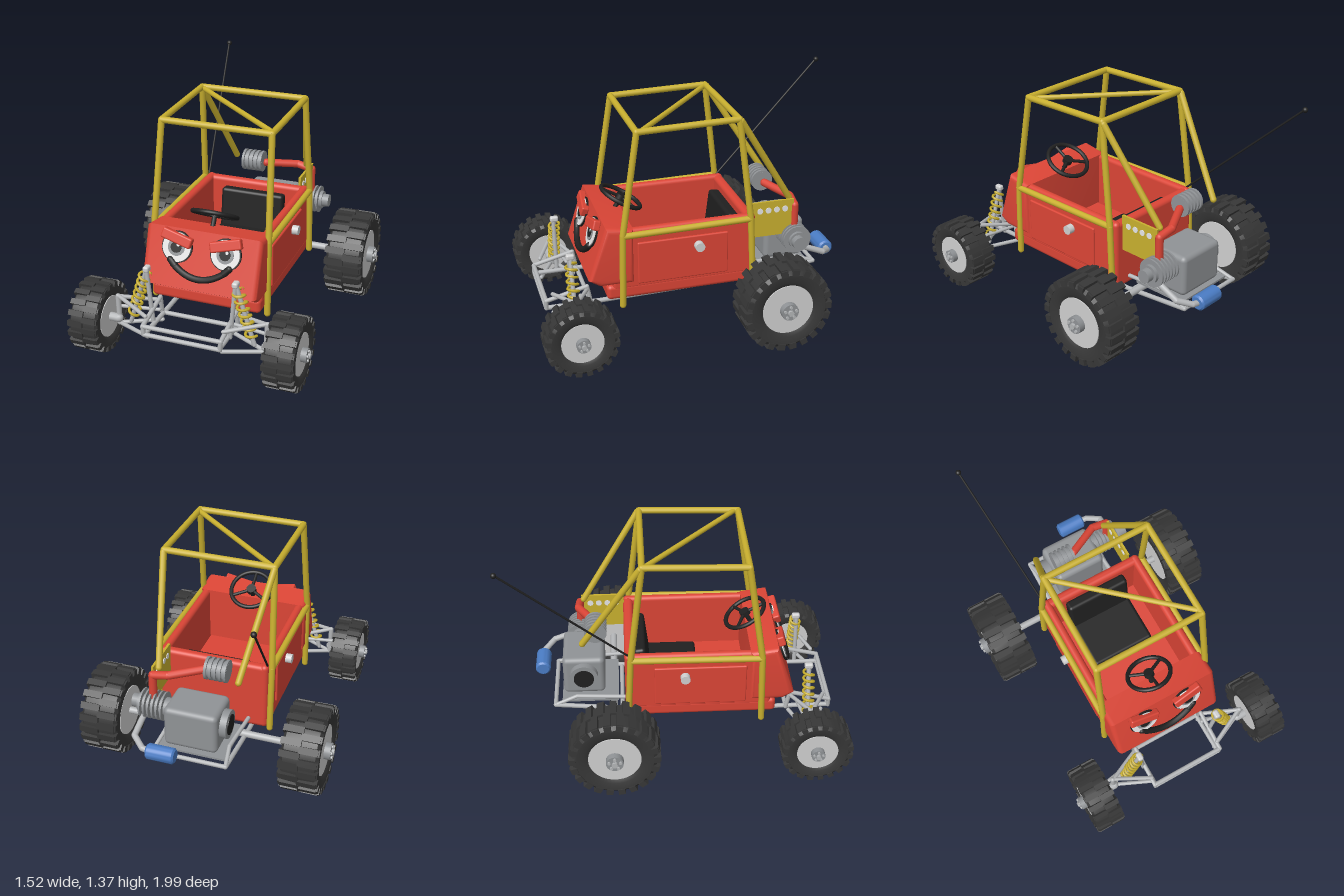
import * as THREE from 'three';
import { mergeGeometries, toCreasedNormals } from 'three/addons/utils/BufferGeometryUtils.js';
import { RoundedBoxGeometry } from 'three/addons/geometries/RoundedBoxGeometry.js';

const material = (name, color) => Object.assign(new THREE.MeshStandardMaterial({ color }), { name });
const red = material('red paint', 0xdb4536);
const yellow = material('yellow paint', 0xc9b02f);
const rubber = material('rubber', 0x373737);
const black = material('black trim', 0x202020);
const steel = material('steel', 0xb4b6b8);
const engineGrey = material('engine grey', 0x909396);
const hubGrey = material('hub grey', 0xd0d0d0);
const white = material('white', 0xf2f2f2);
const blue = material('blue', 0x4a7cc4);

const V = (x, y, z) => new THREE.Vector3(x, y, z);
const UP = V(0, 1, 0);

function add(parent, name, geometry, mat, x = 0, y = 0, z = 0) {
  const mesh = new THREE.Mesh(geometry, mat);
  mesh.name = name;
  mesh.position.set(x, y, z);
  parent.add(mesh);
  return mesh;
}
const rounded = (w, h, d, r = 0.02) => new RoundedBoxGeometry(w, h, d, 3, r);
const cylX = (r, len, n = 24) => new THREE.CylinderGeometry(r, r, len, n).rotateZ(-Math.PI / 2);
const cylZ = (r, len, n = 32) => new THREE.CylinderGeometry(r, r, len, n).rotateX(Math.PI / 2);

// Welded tubes through a list of points
function tubes(parent, name, points, r, mat) {
  const parts = [];
  points.forEach((p, i) => {
    parts.push(new THREE.SphereGeometry(r, 12, 8).translate(p.x, p.y, p.z));
    if (!i) return;
    const a = points[i - 1], dir = p.clone().sub(a), mid = a.clone().add(p).multiplyScalar(0.5);
    const q = new THREE.Quaternion().setFromUnitVectors(UP, dir.clone().normalize());
    parts.push(new THREE.CylinderGeometry(r, r, dir.length(), 12).applyQuaternion(q).translate(mid.x, mid.y, mid.z));
  });
  return add(parent, name, mergeGeometries(parts), mat);
}

class Helix extends THREE.Curve {
  constructor(radius, length, turns) { super(); Object.assign(this, { radius, length, turns }); }
  getPoint(t, out = V(0, 0, 0)) {
    const a = t * this.turns * Math.PI * 2;
    return out.set(Math.cos(a) * this.radius, t * this.length, Math.sin(a) * this.radius);
  }
}

// Wheel with its axle along x and its outer face toward +x
function wheel(name, R, half, lugCount, hubOut) {
  const g = new THREE.Group();
  g.name = name;
  const hubR = R * 0.57;
  const profile = [[hubR, -half * 0.8], [R * 0.66, -half * 0.92], [R * 0.84, -half * 0.95], [R * 0.92, -half * 0.8],
    [R * 0.94, 0], [R * 0.92, half * 0.8], [R * 0.84, half * 0.95], [R * 0.66, half * 0.92], [hubR, half * 0.8]];
  const tire = new THREE.LatheGeometry(profile.map(p => new THREE.Vector2(...p)), 48).rotateZ(-Math.PI / 2);
  add(g, 'tire', toCreasedNormals(tire, 0.6), rubber);
  // Two staggered rows of tread blocks, each with a shoulder step
  const lugs = [];
  for (let i = 0; i < lugCount * 2; i++) {
    const side = i % 2 ? 1 : -1, a = i * Math.PI / lugCount, t = R * 0.15;
    lugs.push(new THREE.BoxGeometry(half * 0.95, R * 0.1, t).translate(side * half * 0.44, R * 0.942, 0).rotateX(a));
    lugs.push(new THREE.BoxGeometry(half * 0.25, R * 0.14, t).translate(side * half * 0.87, R * 0.9, 0).rotateX(a));
  }
  add(g, 'tread', mergeGeometries(lugs), rubber);
  add(g, 'wheelDisc', cylX(hubR, half * 1.7, 40), hubGrey);
  add(g, 'hub', cylX(R * 0.19, half + hubOut - 0.015, 20), engineGrey, (half + hubOut - 0.015) / 2);
  add(g, 'hubNut', cylX(R * 0.07, 0.03, 6), steel, half + hubOut - 0.015);
  for (let i = 0; i < 5; i++) {
    const a = i * Math.PI * 0.4;
    add(g, 'bolt', cylX(R * 0.035, 0.012, 8), steel, half + hubOut - 0.012, Math.cos(a) * R * 0.13, Math.sin(a) * R * 0.13);
  }
  return g;
}

function buildBody(g) {
  // Nose: side profile (z, y) swept across the width
  const nose = new THREE.Shape([[0.42, 0.37], [0.62, 0.37], [0.685, 0.41], [0.58, 0.73], [0.42, 0.705]].map(p => new THREE.Vector2(...p)));
  const b = 0.03;
  const noseGeo = new THREE.ExtrudeGeometry(nose, { depth: 0.69 - 2 * b, bevelSize: b, bevelThickness: b, bevelOffset: -b, bevelSegments: 5 });
  noseGeo.translate(0, 0, -(0.69 - 2 * b) / 2).rotateY(-Math.PI / 2);
  add(g, 'nose', toCreasedNormals(noseGeo, 0.6), red);
  add(g, 'floor', rounded(0.66, 0.09, 0.88, 0.025), red, 0, 0.315, 0.14);
  add(g, 'noseGap', new THREE.BoxGeometry(0.6, 0.05, 0.12), black, 0, 0.36, 0.51);
  add(g, 'rearWall', rounded(0.66, 0.42, 0.06, 0.025), red, 0, 0.49, -0.28);
  for (const s of [-1, 1]) {
    add(g, 'sideWall', rounded(0.05, 0.38, 0.86, 0.024), red, s * 0.305, 0.515, 0.12);
    add(g, 'door', rounded(0.02, 0.26, 0.54, 0.008), red, s * 0.332, 0.49, 0.13);
    add(g, 'doorKnob', cylX(0.028, 0.05), hubGrey, s * 0.355, 0.56, 0.04);
  }
  // Seat and steering wheel
  add(g, 'seatCushion', rounded(0.4, 0.08, 0.32), black, 0, 0.39, -0.03);
  add(g, 'seatBack', rounded(0.4, 0.27, 0.07), black, 0, 0.52, -0.205).rotation.x = -0.12;
  const steering = new THREE.Group();
  steering.name = 'steeringWheel';
  steering.position.set(0, 0.765, 0.415);
  steering.rotation.x = -0.52;
  add(steering, 'rim', new THREE.TorusGeometry(0.128, 0.013, 10, 40).rotateX(Math.PI / 2), black);
  add(steering, 'boss', new THREE.CylinderGeometry(0.03, 0.03, 0.03, 20), black);
  for (let i = 0; i < 3; i++) {
    const a = i * Math.PI * 2 / 3 + Math.PI / 2;
    tubes(steering, 'spoke', [V(0, 0, 0), V(Math.cos(a) * 0.125, 0, Math.sin(a) * 0.125)], 0.01, black);
  }
  tubes(steering, 'column', [V(0, 0, 0), V(0, -0.22, 0)], 0.014, black);
  g.add(steering);
}

function buildFace(g) {
  const face = new THREE.Group();
  face.name = 'face';
  face.position.set(0, 0.63, 0.614);
  face.rotation.x = -0.317;
  for (const s of [-1, 1]) {
    add(face, 'eyeRim', cylZ(0.091, 0.02), black, s * 0.145);
    add(face, 'eyeWhite', cylZ(0.084, 0.02), white, s * 0.145, 0, 0.006);
    add(face, 'iris', cylZ(0.05, 0.008), engineGrey, s * 0.145, 0, 0.016);
    add(face, 'pupil', cylZ(0.032, 0.008), black, s * 0.145, 0, 0.02);
    add(face, 'glint', cylZ(0.009, 0.006), white, s * 0.145 + 0.012, 0.014, 0.023);
    add(face, 'brow', rounded(0.185, 0.06, 0.045, 0.01), red, s * 0.145, 0.052, 0.018).rotation.z = s * 0.26;
    tubes(face, 'mouthCorner', [V(s * 0.175, -0.075, 0.01), V(s * 0.145, -0.105, 0.01)], 0.02, black);
  }
  const smile = new THREE.QuadraticBezierCurve3(V(-0.16, -0.095, 0.01), V(0, -0.23, 0.015), V(0.16, -0.095, 0.01));
  add(face, 'mouth', new THREE.TubeGeometry(smile, 24, 0.019, 10), black);
  g.add(face);
}

function buildCage(g) {
  const r = 0.019, x = 0.345, t = 0.325;
  for (const s of [-1, 1]) {
    tubes(g, 'cageSide', [V(s * x, 0.24, 0.495), V(s * x, 0.68, 0.485), V(s * t, 1.28, 0.39), V(s * t, 1.295, -0.2), V(s * x, 0.68, -0.275), V(s * x, 0.28, -0.295)], r, yellow);
    tubes(g, 'cageWaistRail', [V(s * x, 0.675, 0.485), V(s * x, 0.685, -0.275)], r, yellow);
    tubes(g, 'cageRearBrace', [V(s * t, 1.285, -0.21), V(s * 0.235, 0.74, -0.55)], r, yellow);
  }
  tubes(g, 'cageFrontBar', [V(-t, 1.28, 0.39), V(t, 1.28, 0.39)], r, yellow);
  tubes(g, 'cageRearBar', [V(-t, 1.295, -0.2), V(t, 1.295, -0.2)], r, yellow);
  tubes(g, 'cageRoofDiagonal', [V(-t, 1.29, -0.2), V(t, 1.28, 0.37)], r * 0.8, yellow);
  tubes(g, 'antenna', [V(-0.32, 0.7, -0.28), V(-0.452, 1.352, -0.975)], 0.006, black);
  add(g, 'antennaTip', new THREE.SphereGeometry(0.016, 16, 12), black, -0.452, 1.352, -0.978);
}

function buildChassis(g) {
  for (const s of [-1, 1]) {
    tubes(g, 'frameRail', [V(s * 0.22, 0.22, 0.92), V(s * 0.22, 0.22, 0.6), V(s * 0.22, 0.24, -0.3), V(s * 0.22, 0.285, -0.73)], 0.014, steel);
    tubes(g, 'upperFrontRail', [V(s * 0.225, 0.22, 0.92), V(s * 0.23, 0.27, 0.92), V(s * 0.23, 0.33, 0.68), V(s * 0.23, 0.22, 0.66)], 0.013, steel);
    tubes(g, 'rearSubframe', [V(s * 0.22, 0.33, -0.3), V(s * 0.2, 0.33, -0.6), V(s * 0.22, 0.285, -0.73)], 0.012, steel);
    // Front suspension arms, upright, tower and coil
    tubes(g, 'upperArm', [V(s * 0.23, 0.31, 0.68), V(s * 0.44, 0.345, 0.78), V(s * 0.23, 0.31, 0.88)], 0.012, steel);
    tubes(g, 'lowerArm', [V(s * 0.22, 0.185, 0.68), V(s * 0.44, 0.175, 0.78), V(s * 0.22, 0.185, 0.88)], 0.012, steel);
    tubes(g, 'upright', [V(s * 0.445, 0.345, 0.78), V(s * 0.44, 0.175, 0.78)], 0.015, steel);
    tubes(g, 'frontStub', [V(s * 0.44, 0.21, 0.79), V(s * 0.56, 0.21, 0.79)], 0.025, steel);
    tubes(g, 'steeringArm', [V(s * 0.22, 0.27, 0.72), V(s * 0.46, 0.27, 0.76)], 0.011, steel);
    tubes(g, 'shockTower', [V(s * 0.23, 0.22, 0.78), V(s * 0.262, 0.54, 0.78)], 0.013, steel);
    add(g, 'shockTop', rounded(0.035, 0.035, 0.05, 0.012), hubGrey, s * 0.262, 0.55, 0.775);
    const top = V(s * 0.265, 0.54, 0.775), foot = V(s * 0.37, 0.2, 0.775);
    tubes(g, 'shockRod', [top, foot], 0.013, steel);
    const low = foot.clone().lerp(top, 0.15), dir = top.clone().sub(low);
    const coil = add(g, 'shockCoil', new THREE.TubeGeometry(new Helix(0.031, dir.length() * 0.94, 7), 112, 0.008, 6), yellow, low.x, low.y, low.z);
    coil.quaternion.setFromUnitVectors(UP, dir.normalize());
    // Wheels
    const front = wheel('frontWheel', 0.21, 0.09, 20, 0.035), rear = wheel('rearWheel', 0.265, 0.117, 22, 0.035);
    front.position.set(s * 0.57, 0.21, 0.79);
    rear.position.set(s * 0.607, 0.265, -0.38);
    front.rotation.y = rear.rotation.y = s < 0 ? Math.PI : 0;
    g.add(front, rear);
  }
  for (const [y, z] of [[0.22, 0.92], [0.27, 0.92], [0.22, 0.66], [0.24, -0.33], [0.285, -0.73]])
    tubes(g, 'crossBar', [V(-0.22, y, z), V(0.22, y, z)], 0.013, steel);
  add(g, 'rearAxle', cylX(0.021, 1.2), steel, 0, 0.265, -0.38);
  add(g, 'engineMount', new THREE.BoxGeometry(0.4, 0.012, 0.34), engineGrey, 0, 0.295, -0.52);
}

function buildEngine(g) {
  add(g, 'engineBlock', rounded(0.32, 0.25, 0.25, 0.03), engineGrey, 0.01, 0.435, -0.555);
  add(g, 'engineCover', cylX(0.085, 0.05, 32), engineGrey, -0.165, 0.45, -0.555);
  add(g, 'coverCap', cylX(0.06, 0.02, 32), black, -0.185, 0.45, -0.555);
  // Finned cylinder
  add(g, 'cylinder', cylX(0.055, 0.2), engineGrey, 0.25, 0.5, -0.575);
  for (let i = 0; i < 6; i++) add(g, 'coolingFin', cylX(0.085, 0.01, 32), engineGrey, 0.195 + i * 0.026, 0.5, -0.575);
  add(g, 'cylinderHead', cylX(0.04, 0.06), engineGrey, 0.36, 0.5, -0.57);
  // Intake pipe and ribbed filter
  tubes(g, 'intakePipe', [V(-0.01, 0.74, -0.485), V(0.17, 0.72, -0.58), V(0.265, 0.7, -0.575), V(0.265, 0.55, -0.575)], 0.024, red);
  add(g, 'airFilter', cylX(0.054, 0.13), engineGrey, -0.088, 0.75, -0.475);
  for (let i = 0; i < 5; i++) add(g, 'filterRib', cylX(0.066, 0.015, 28), engineGrey, -0.145 + i * 0.0285, 0.75, -0.475);
  // Exhaust and muffler
  tubes(g, 'exhaustPipe', [V(0.31, 0.45, -0.6), V(0.315, 0.39, -0.75), V(0.245, 0.36, -0.81), V(0.2, 0.355, -0.815)], 0.018, steel);
  const muffler = [[0, -0.085], [0.036, -0.085], [0.046, -0.075], [0.046, 0.075], [0.036, 0.085], [0, 0.085]];
  const mufflerGeo = new THREE.LatheGeometry(muffler.map(p => new THREE.Vector2(...p)), 28).rotateZ(-Math.PI / 2);
  add(g, 'muffler', toCreasedNormals(mufflerGeo, 0.5), blue, 0.13, 0.355, -0.815);
  // Side panel with round lamps
  add(g, 'sidePanel', new THREE.BoxGeometry(0.014, 0.22, 0.26), yellow, 0.27, 0.635, -0.435);
  for (let i = 0; i < 4; i++) add(g, 'panelDot', cylX(0.018, 0.022), white, 0.27, 0.69, -0.355 - i * 0.052);
}

export function createModel() {
  const model = new THREE.Group();
  model.name = 'buggy';
  for (const [name, build] of [['body', buildBody], ['faceDetails', buildFace], ['rollCage', buildCage], ['chassis', buildChassis], ['engine', buildEngine]]) {
    const part = new THREE.Group();
    part.name = name;
    build(part);
    model.add(part);
  }
  return model;
}
